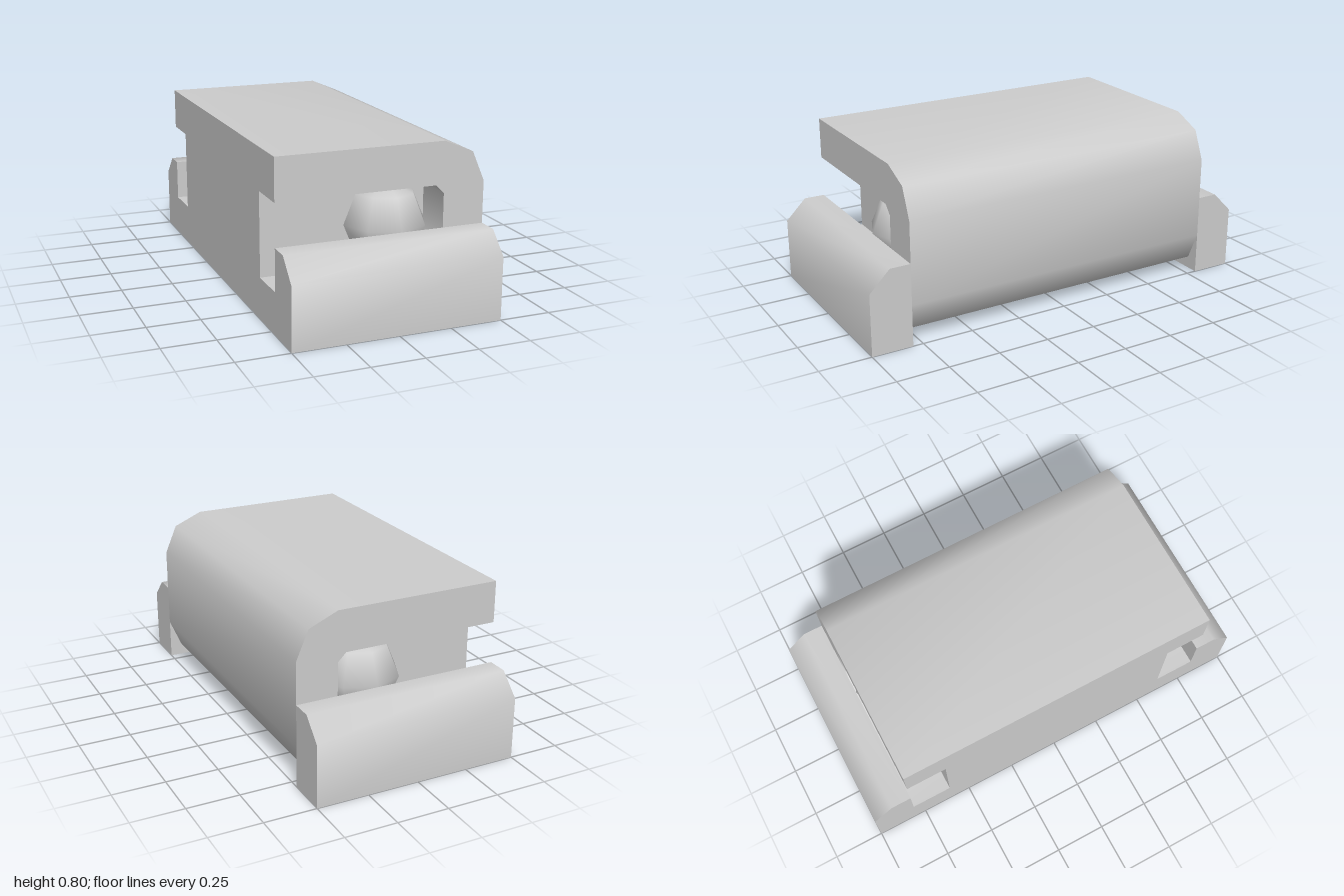
import * as THREE from 'three';
import { toCreasedNormals } from 'three/addons/utils/BufferGeometryUtils.js';

const material = new THREE.MeshStandardMaterial({ color: 0xcccccc });

// Extrudes a closed outline, centred along its depth, with soft shallow corners
function prism(points, depth) {
  const shape = new THREE.Shape(points.map(([x, y]) => new THREE.Vector2(x, y)));
  const geometry = new THREE.ExtrudeGeometry(shape, { depth, bevelEnabled: false });
  geometry.translate(0, 0, -depth / 2);
  return toCreasedNormals(geometry, Math.PI / 3);
}

function addMesh(parent, name, geometry) {
  const mesh = new THREE.Mesh(geometry, material);
  mesh.name = name;
  parent.add(mesh);
  return mesh;
}

export function createModel() {
  const model = new THREE.Group();
  model.name = 'slottedBlock';

  // Slot outline, open towards -x, with small inner chamfers
  const slot = [[-0.5, 0.6], [0.26, 0.6], [0.3, 0.56], [0.3, 0.24], [0.26, 0.2], [-0.5, 0.2]];

  // C-shaped shell, rounded along its +x edges
  const outer = [
    [-0.5, 0], [0.3, 0], [0.44, 0.06], [0.5, 0.2],
    [0.5, 0.6], [0.44, 0.74], [0.3, 0.8], [-0.5, 0.8],
  ];
  addMesh(model, 'shell', prism([...outer, ...slot], 1.6));

  // Core fills the slot except for a recess at each end
  addMesh(model, 'core', prism(slot, 1.2));

  // Each end has a chamfered lip and a domed knob in the recess
  const lipGeometry = prism([[0.8, 0], [1, 0], [1, 0.3], [0.9, 0.4], [0.8, 0.4]], 1);
  lipGeometry.rotateY(-Math.PI / 2);
  const knobGeometry = new THREE.SphereGeometry(0.2, 8, 4);

  for (const [side, sign] of [['front', 1], ['back', -1]]) {
    const lip = addMesh(model, side + 'Lip', lipGeometry);
    if (sign < 0) lip.rotation.y = Math.PI;
    const knob = addMesh(model, side + 'Knob', knobGeometry);
    knob.position.set(0.1, 0.4, 0.6 * sign);
  }

  return model;
}
